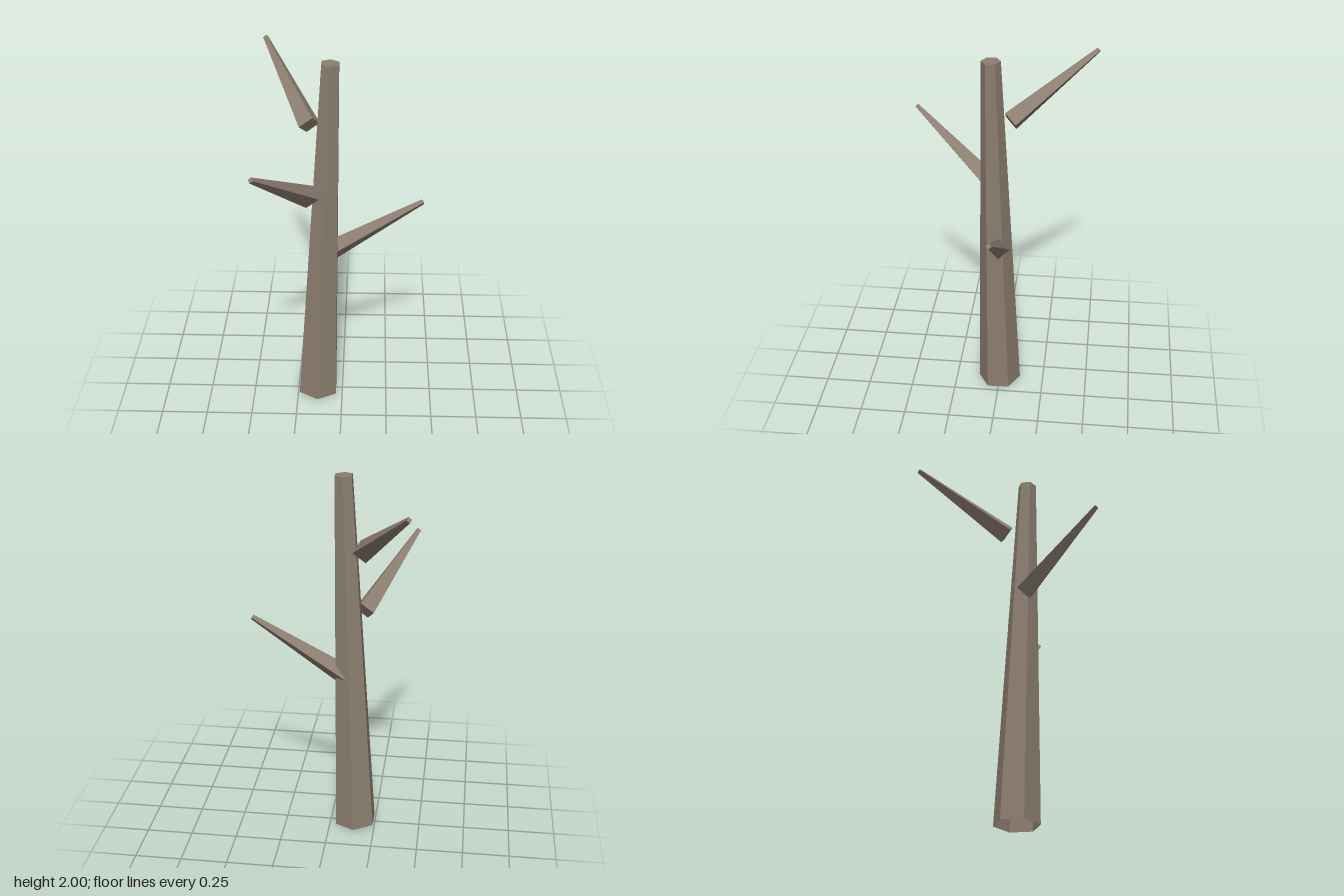
import * as THREE from 'three';

const bark = new THREE.MeshStandardMaterial({ color: 0x8c7e70, flatShading: true, side: THREE.DoubleSide });

// Tapered six-sided trunk leaning from base to top, hollow underneath
function createTrunk() {
  const base = new THREE.Vector3(-0.139, 0.006, 0.002);
  const top = new THREE.Vector3(-0.058, 1.997, 0.04);
  const axis = top.clone().sub(base);
  const length = axis.length();

  const trunk = new THREE.Group();
  trunk.name = 'trunk';

  const sides = new THREE.Mesh(new THREE.CylinderGeometry(0.05, 0.119, length, 6, 1, true), bark);
  sides.name = 'trunkSides';
  sides.position.y = length / 2;

  const cap = new THREE.Mesh(new THREE.CircleGeometry(0.05, 6, Math.PI / 2), bark);
  cap.name = 'trunkTop';
  cap.rotation.x = -Math.PI / 2;
  cap.position.y = length;

  trunk.add(sides, cap);
  trunk.position.copy(base);
  trunk.quaternion.setFromUnitVectors(new THREE.Vector3(0, 1, 0), axis.normalize());
  return trunk;
}

// Tapered four-sided branch, one edge up, rising 32 degrees
function createBranch(name, x, y, z, yawDegrees) {
  const length = 0.59;
  const geometry = new THREE.CylinderGeometry(0.015, 0.06, length, 4);
  geometry.translate(0, length / 2, 0);
  geometry.rotateZ(-THREE.MathUtils.degToRad(58));
  const branch = new THREE.Mesh(geometry, bark);
  branch.name = name;
  branch.position.set(x, y, z);
  branch.rotation.y = THREE.MathUtils.degToRad(yawDegrees);
  return branch;
}

export function createModel() {
  const tree = new THREE.Group();
  tree.name = 'bareTree';
  tree.add(
    createTrunk(),
    createBranch('lowerBranch', -0.08, 0.908, 0, 0),
    createBranch('middleBranch', -0.17, 1.267, 0.05, -120),
    createBranch('upperBranch', -0.17, 1.627, -0.05, 120)
  );
  return tree;
}
